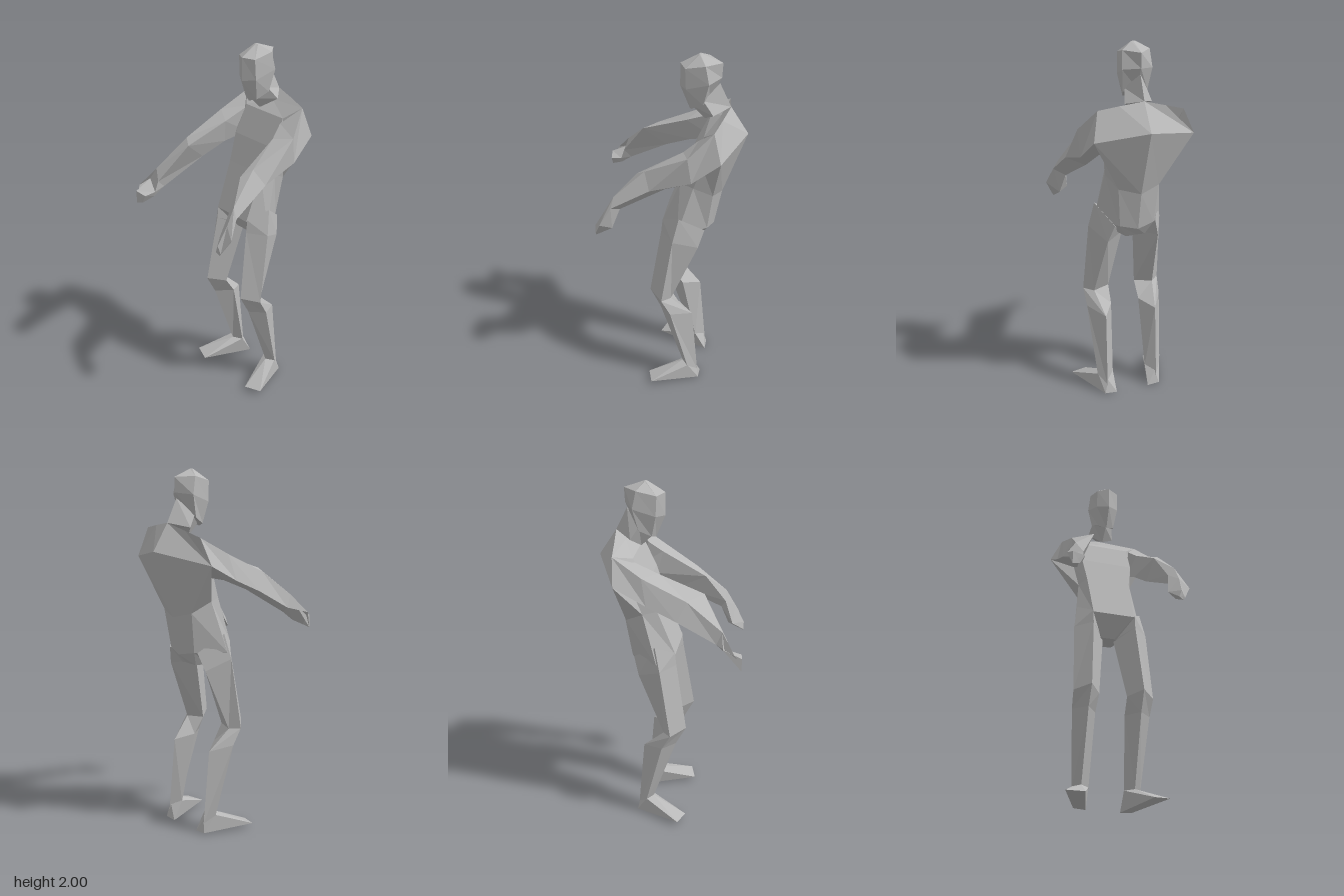
import * as THREE from 'three';
import { ConvexGeometry } from 'three/addons/geometries/ConvexGeometry.js';

// Skin a list of equal-length rings of points and close both ends.
function loft(rings) {
  const tris = [];
  const n = rings[0].length;
  for (let r = 0; r < rings.length - 1; r++) {
    for (let i = 0; i < n; i++) {
      const j = (i + 1) % n;
      const a = rings[r][i], b = rings[r][j], c = rings[r + 1][j], d = rings[r + 1][i];
      tris.push([a, b, c], [a, c, d]);
    }
  }
  const cap = (ring, flip) => {
    const mid = [0, 1, 2].map(k => ring.reduce((s, p) => s + p[k], 0) / n);
    ring.forEach((p, i) => {
      const q = ring[(i + 1) % n];
      tris.push(flip ? [mid, q, p] : [mid, p, q]);
    });
  };
  cap(rings[0], true);
  cap(rings[rings.length - 1], false);
  // Turn the faces outward whichever way the rings run.
  let volume = 0;
  for (const [a, b, c] of tris) {
    volume += a[0] * (b[1] * c[2] - b[2] * c[1]) + a[1] * (b[2] * c[0] - b[0] * c[2]) + a[2] * (b[0] * c[1] - b[1] * c[0]);
  }
  if (volume < 0) tris.forEach(t => t.reverse());
  const geometry = new THREE.BufferGeometry();
  geometry.setAttribute('position', new THREE.Float32BufferAttribute(tris.flat(2), 3));
  geometry.computeVertexNormals();
  return geometry;
}

export function createModel() {
  const group = new THREE.Group();
  group.name = 'figure';
  const grey = new THREE.MeshStandardMaterial({ color: 0xb8b8b8, flatShading: true });
  grey.name = 'clay grey';
  const add = (name, geometry) => {
    const mesh = new THREE.Mesh(geometry, grey);
    mesh.name = name;
    group.add(mesh);
  };

  // Head: six-sided rings with a ridge down the face and the back of the skull.
  const headRing = (front, fs, bs, back) => [
    [0.01, ...front], [0.01 + fs[0], fs[1], fs[2]], [0.01 + bs[0], bs[1], bs[2]],
    [0.012, ...back], [0.01 - bs[0], bs[1], bs[2]], [0.01 - fs[0], fs[1], fs[2]],
  ];
  add('head', loft([
    headRing([2.0, -0.145], [0.012, 2.0, -0.15], [0.012, 2.0, -0.155], [2.0, -0.16]),
    headRing([1.945, -0.05], [0.062, 1.94, -0.085], [0.075, 1.965, -0.19], [1.96, -0.268]),
    headRing([1.82, -0.05], [0.065, 1.83, -0.09], [0.083, 1.87, -0.21], [1.88, -0.264]),
    headRing([1.7, -0.1], [0.045, 1.715, -0.115], [0.068, 1.75, -0.18], [1.77, -0.205]),
  ]));

  // Neck leaning forward out of the shoulders.
  add('neck', loft([
    [[0.01, 1.71, -0.115], [0.07, 1.77, -0.18], [0.012, 1.85, -0.255], [-0.05, 1.77, -0.18]],
    [[0.01, 1.645, -0.18], [0.09, 1.7, -0.235], [0.015, 1.725, -0.316], [-0.065, 1.7, -0.225]],
  ]));

  // Torso: two front corners, a side, two back corners and the spine.
  add('torso', loft([
    [[-0.12, 1.62, -0.2], [0.17, 1.62, -0.2], [0.248, 1.685, -0.264], [0.14, 1.705, -0.29],
      [0.015, 1.725, -0.316], [-0.11, 1.69, -0.3], [-0.217, 1.66, -0.288]],
    [[-0.13, 1.47, -0.13], [0.17, 1.47, -0.13], [0.19, 1.45, -0.2], [0.283, 1.53, -0.306],
      [0.015, 1.58, -0.41], [-0.287, 1.52, -0.273], [-0.16, 1.45, -0.2]],
    [[-0.115, 1.32, -0.075], [0.14, 1.32, -0.075], [0.17, 1.31, -0.15], [0.13, 1.25, -0.25],
      [0.015, 1.22, -0.285], [-0.1, 1.25, -0.25], [-0.145, 1.31, -0.15]],
    [[-0.105, 1.065, 0.023], [0.135, 1.065, 0.023], [0.205, 1.03, -0.07], [0.11, 1.03, -0.22],
      [0.015, 1.01, -0.245], [-0.085, 1.03, -0.22], [-0.185, 1.03, -0.07]],
    [[-0.03, 0.95, -0.06], [0.045, 0.95, -0.06], [0.08, 0.95, -0.11], [0.06, 0.95, -0.18],
      [0.01, 0.96, -0.2], [-0.05, 0.95, -0.18], [-0.065, 0.95, -0.11]],
  ]));

  // Arms: corners run inner top, outer top, outer bottom, inner bottom.
  add('rightArm', loft([
    [[-0.12, 1.61, -0.215], [-0.217, 1.66, -0.288], [-0.287, 1.52, -0.273], [-0.14, 1.45, -0.22]],
    [[-0.135, 1.55, -0.06], [-0.255, 1.57, -0.13], [-0.29, 1.43, -0.1], [-0.165, 1.42, -0.08]],
    [[-0.155, 1.465, 0.185], [-0.265, 1.46, 0.11], [-0.3, 1.36, 0.06], [-0.19, 1.36, 0.06]],
    [[-0.257, 1.26, 0.32], [-0.295, 1.32, 0.3], [-0.302, 1.25, 0.27], [-0.257, 1.22, 0.28]],
    [[-0.262, 1.2, 0.34], [-0.345, 1.245, 0.31], [-0.358, 1.22, 0.375], [-0.275, 1.17, 0.34]],
    [[-0.272, 1.19, 0.4], [-0.34, 1.2, 0.41], [-0.342, 1.128, 0.408], [-0.3, 1.14, 0.4]],
  ]));
  add('leftArm', loft([
    [[0.175, 1.6, -0.175], [0.248, 1.685, -0.264], [0.283, 1.53, -0.306], [0.18, 1.46, -0.23]],
    [[0.2, 1.54, -0.1], [0.313, 1.565, -0.14], [0.305, 1.42, -0.16], [0.195, 1.41, -0.13]],
    [[0.218, 1.4, 0.14], [0.26, 1.44, 0.09], [0.318, 1.36, 0.055], [0.225, 1.325, -0.01]],
    [[0.255, 1.24, 0.25], [0.295, 1.29, 0.25], [0.326, 1.235, 0.26], [0.265, 1.2, 0.225]],
    [[0.235, 1.11, 0.295], [0.3, 1.2, 0.3], [0.353, 1.14, 0.317], [0.29, 1.09, 0.265]],
    [[0.275, 1.06, 0.355], [0.29, 1.1, 0.355], [0.31, 1.06, 0.352], [0.3, 1.045, 0.35]],
  ]));

  // Legs and feet: shaped on the right, mirrored with a slight outward shift low down.
  const mirror = ([x, y, z]) => [0.035 - x + 0.018 * Math.max(0, 1 - y / 0.6), y, z];
  // Corners run front, outer, back, inner.
  const leg = [
    [[-0.105, 1.075, 0.02], [-0.17, 1.13, -0.08], [-0.1, 1.03, -0.21], [-0.02, 0.96, -0.08]],
    [[-0.105, 1.0, 0.028], [-0.195, 0.99, -0.05], [-0.13, 0.93, -0.18], [-0.015, 0.945, -0.09]],
    [[-0.13, 0.61, 0.088], [-0.21, 0.59, 0.01], [-0.16, 0.585, -0.036], [-0.062, 0.59, 0.0]],
    [[-0.13, 0.5, 0.03], [-0.203, 0.5, -0.04], [-0.13, 0.47, -0.155], [-0.065, 0.5, -0.06]],
    [[-0.125, 0.106, -0.105], [-0.167, 0.1, -0.14], [-0.125, 0.05, -0.192], [-0.075, 0.1, -0.14]],
  ];
  const foot = [
    [-0.165, 0.106, -0.14], [-0.125, 0.11, -0.105], [-0.075, 0.106, -0.14], [-0.12, 0.08, -0.185],
    [-0.07, 0.0, -0.2], [-0.14, 0.005, -0.2], [-0.258, 0.03, 0.06], [-0.16, 0.022, 0.092],
  ];
  for (const [side, place] of [['right', p => p], ['left', mirror]]) {
    add(side + 'Leg', loft(leg.map(ring => ring.map(place))));
    add(side + 'Foot', new ConvexGeometry(foot.map(p => new THREE.Vector3(...place(p)))));
  }
  return group;
}
